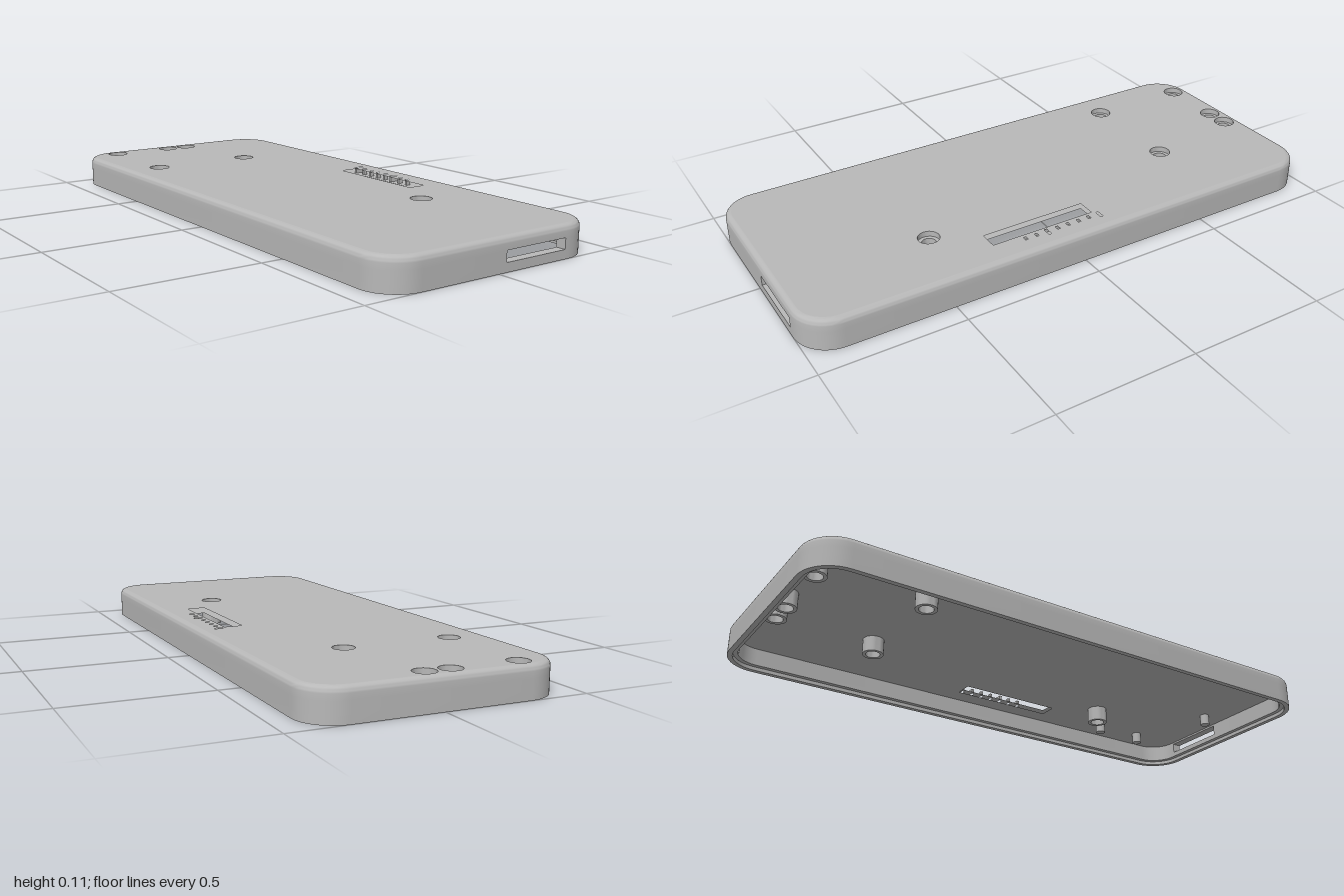
import * as THREE from 'three';
import { toCreasedNormals } from 'three/addons/utils/BufferGeometryUtils.js';

const HX = 1, HZ = 0.424, H = 0.11;             // half length, half depth, height
const CORNER = 0.125, FILLET = 0.021;           // plan corner and top edge radii
const WALL = 0.035, CEILING = 0.075, RECESS = 0.09;
const SLOT = { z0: -0.283, z1: -0.03, y0: 0.031, y1: 0.068 };
const SCREWS = [[-0.938, -0.035], [-0.938, 0.053], [-0.938, 0.29], [-0.56, -0.1], [-0.56, 0.29], [0.465, -0.17]];
const PINS = [[0.87, 0.02], [0.765, -0.29], [0.565, -0.28]];

// Closed plan outline at a given inset, with two extra points at the ends of the side slot
function outline(inset) {
  const r = CORNER - inset, pts = [], n = 10;
  [[1, 1], [-1, 1], [-1, -1], [1, -1]].forEach(([sx, sz], q) => {
    for (let i = 0; i <= n; i++) {
      const a = (q + i / n) * Math.PI / 2;
      pts.push([sx * (HX - CORNER) + r * Math.cos(a), sz * (HZ - CORNER) + r * Math.sin(a)]);
    }
  });
  pts.push([HX - inset, SLOT.z0], [HX - inset, SLOT.z1]);
  return pts;
}

// Outer wall, rim with stepped lip and inner wall, swept round the outline
function wallGeometry() {
  const profile = [];
  for (let i = 0; i <= 6; i++) {
    const a = i / 6 * Math.PI / 2;
    profile.push([FILLET * (1 - Math.sin(a)), H - FILLET * (1 - Math.cos(a))]);
  }
  profile.push([0, SLOT.y1], [0, SLOT.y0], [0, 0], [0.018, 0], [0.018, 0.013], [WALL, 0.013],
    [WALL, SLOT.y0], [WALL, SLOT.y1], [WALL, CEILING]);
  const rings = profile.map(([inset, y]) => outline(inset).map(([x, z]) => [x, y, z]));
  const pos = [];
  const quad = (a, b, c, d) => pos.push(...a, ...b, ...c, ...a, ...c, ...d);
  const n = rings[0].length;
  for (let v = 0; v < rings.length - 1; v++) {
    const ys = [profile[v][1], profile[v + 1][1]];
    const slotBand = ys.includes(SLOT.y0) && ys.includes(SLOT.y1);
    for (let u = 0; u < n; u++) {
      if (slotBand && u === n - 2) continue;
      const w = (u + 1) % n;
      quad(rings[v][u], rings[v][w], rings[v + 1][w], rings[v + 1][u]);
    }
  }
  // Lining of the side slot
  const loop = [[SLOT.y0, SLOT.z0], [SLOT.y0, SLOT.z1], [SLOT.y1, SLOT.z1], [SLOT.y1, SLOT.z0]];
  loop.forEach(([y, z], i) => {
    const [y2, z2] = loop[(i + 1) % 4];
    quad([HX - WALL, y, z], [HX - WALL, y2, z2], [HX, y2, z2], [HX, y, z]);
  });
  const g = new THREE.BufferGeometry();
  g.setAttribute('position', new THREE.Float32BufferAttribute(pos, 3));
  return toCreasedNormals(g, 0.6);
}

const rectHole = (x0, x1, z0, z1) => new THREE.Path([[x0, z0], [x1, z0], [x1, z1], [x0, z1]]
  .map(([x, z]) => new THREE.Vector2(x, -z)));
const roundHole = (x, z, r) => new THREE.Path().absarc(x, -z, r, 0, Math.PI * 2);

// Horizontal plate with holes between two heights
function plate(y0, y1, holes) {
  const shape = new THREE.Shape(outline(FILLET).map(([x, z]) => new THREE.Vector2(x, -z)));
  shape.holes.push(...holes);
  const g = new THREE.ExtrudeGeometry(shape, { depth: y1 - y0, bevelEnabled: false, curveSegments: 14 });
  g.rotateX(-Math.PI / 2);
  g.translate(0, y0, 0);
  return toCreasedNormals(g, 0.6);
}

export function createModel() {
  const group = new THREE.Group();
  const grey = new THREE.MeshStandardMaterial({ color: 0xb8b8b8 });
  grey.name = 'grey plastic';
  const add = (name, geometry, x = 0, y = 0, z = 0) => {
    const mesh = new THREE.Mesh(geometry, grey);
    mesh.name = name;
    mesh.position.set(x, y, z);
    group.add(mesh);
  };

  add('caseWall', wallGeometry());

  // Top skin: screw recesses, display window and a row of engraved ticks
  const displayWindow = () => rectHole(-0.087, 0.305, -0.322, -0.257);
  const ticks = [];
  for (let i = 0; i < 8; i++) {
    const x = -0.103 + i * 0.0422, tall = i === 0 || i === 5;
    ticks.push(rectHole(x - 0.005, x + 0.005, tall ? -0.364 : -0.352, tall ? -0.332 : -0.336));
  }
  add('topSkin', plate(RECESS, H, [displayWindow(), ...ticks, ...SCREWS.map(([x, z]) => roundHole(x, z, 0.038))]));

  // Lower layer: floor of the recesses with narrower screw holes
  add('ceiling', plate(CEILING, RECESS, [displayWindow(), ...SCREWS.map(([x, z]) => roundHole(x, z, 0.025))]));

  // Hollow screw bosses hanging from the ceiling
  const boss = toCreasedNormals(new THREE.LatheGeometry(
    [[0.025, CEILING], [0.025, 0.02], [0.037, 0.02], [0.037, CEILING]].map(p => new THREE.Vector2(...p)), 28), 0.6);
  SCREWS.forEach(([x, z]) => add('screwBoss', boss, x, 0, z));

  // Short solid locating pins
  const pin = new THREE.CylinderGeometry(0.018, 0.018, CEILING - 0.035, 20);
  PINS.forEach(([x, z]) => add('locatingPin', pin, x, (CEILING + 0.035) / 2, z));

  return group;
}
